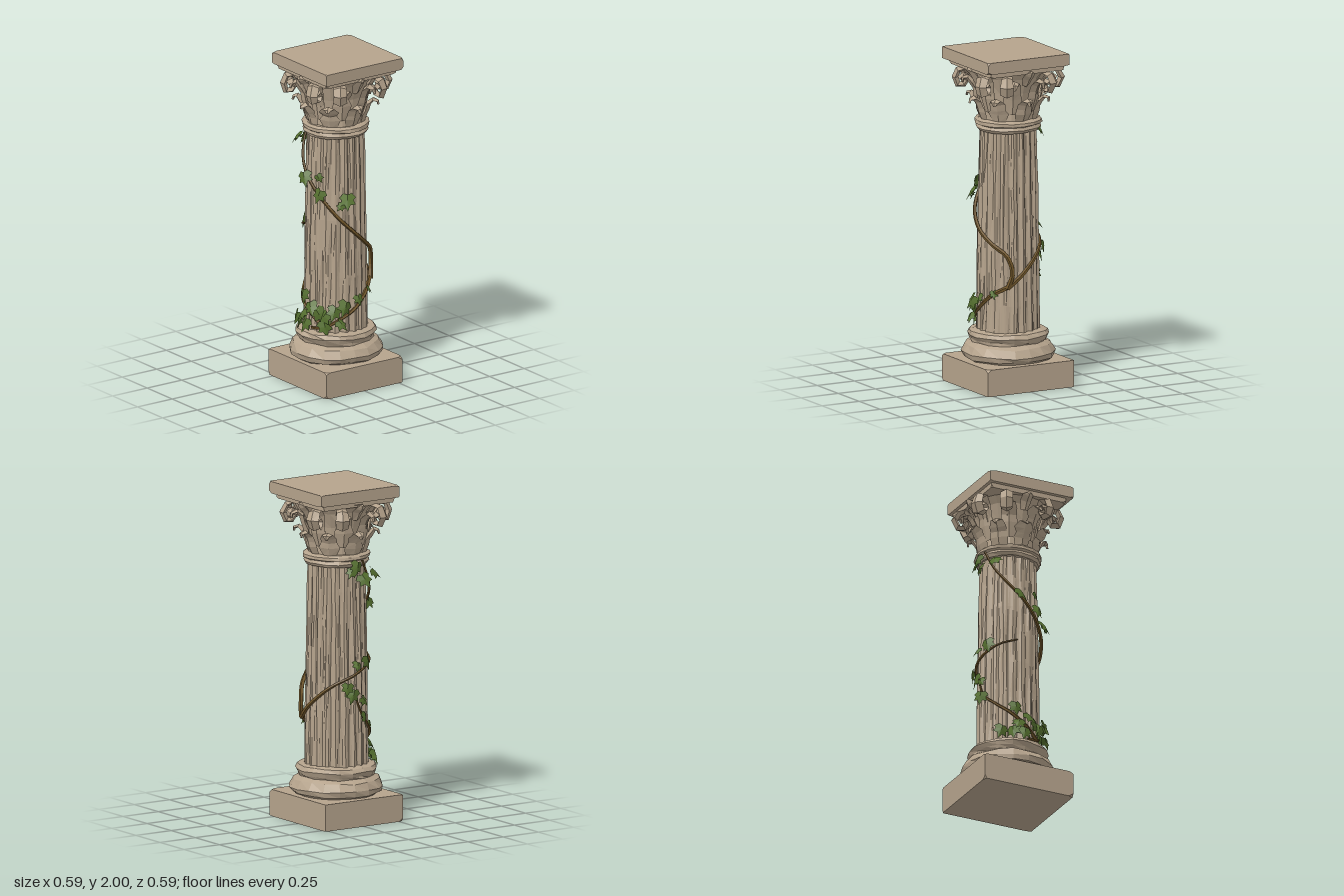
import * as THREE from 'three';
import { ConvexGeometry } from 'three/addons/geometries/ConvexGeometry.js';

const stone = new THREE.MeshStandardMaterial({ color: 0xb5a38c });
stone.name = 'weathered stone';
const bark = new THREE.MeshStandardMaterial({ color: 0x70562a });
bark.name = 'vine bark';
const green = new THREE.MeshStandardMaterial({ color: 0x55702f, side: THREE.DoubleSide });
green.name = 'ivy green';

const rad = THREE.MathUtils.degToRad;

// Repeatable value in -1..1 for any position
function noise(a, b, c) {
  const q = (v) => Math.round(v * 500);
  const s = Math.sin(q(a) * 12.9898 + q(b) * 78.233 + q(c) * 37.719) * 43758.5453;
  return (s - Math.floor(s)) * 2 - 1;
}

// Faceted normals
function flat(geometry) {
  const g = geometry.index ? geometry.toNonIndexed() : geometry;
  g.computeVertexNormals();
  return g;
}

function add(parent, name, geometry, material) {
  const mesh = new THREE.Mesh(flat(geometry), material);
  mesh.name = name;
  parent.add(mesh);
  return mesh;
}

// Moves every vertex by a small repeatable amount
function roughen(g, amount) {
  const p = g.attributes.position;
  for (let i = 0; i < p.count; i++) {
    const [x, y, z] = [p.getX(i), p.getY(i), p.getZ(i)];
    const k = 1 + noise(x, y, z) * amount / Math.max(0.1, Math.hypot(x, z));
    p.setXYZ(i, x * k, y + noise(z, x, y) * amount * 0.6, z * k);
  }
  return g;
}

// Block whose corners are each chipped by a different amount
function chippedBlock(x0, x1, y0, y1, z0, z1, chip) {
  const pts = [];
  for (const [x, sx] of [[x0, 1], [x1, -1]])
    for (const [y, sy] of [[y0, 1], [y1, -1]])
      for (const [z, sz] of [[z0, 1], [z1, -1]]) {
        const c = (k) => chip * (0.55 + 0.45 * noise(x + k, y, z - k));
        pts.push(new THREE.Vector3(x + sx * c(1), y, z), new THREE.Vector3(x, y + sy * c(2) * 0.6, z),
          new THREE.Vector3(x, y, z + sz * c(3)));
      }
  return new ConvexGeometry(pts);
}

function lathe(profile, segments, rough) {
  return roughen(new THREE.LatheGeometry(profile.map(([r, y]) => new THREE.Vector2(r, y)), segments), rough);
}

// Ridged carved leaf: sections of [radius, height, halfWidth] with diamond cross-sections
function frond(path, thick) {
  const pos = [], idx = [];
  const wide = Math.max(...path.map((s) => s[2]));
  path.forEach(([r, y, w], i) => {
    const a = path[Math.max(0, i - 1)], b = path[Math.min(path.length - 1, i + 1)];
    const len = Math.hypot(b[0] - a[0], b[1] - a[1]);
    const t = thick * (0.3 + 0.7 * w / wide);
    const nr = (b[1] - a[1]) / len * t, ny = -(b[0] - a[0]) / len * t;
    pos.push(0, y + ny, r + nr, w, y, r, 0, y - ny, r - nr, -w, y, r);
    if (i) for (let j = 0; j < 4; j++) {
      const k = (j + 1) % 4, lo = (i - 1) * 4, hi = i * 4;
      idx.push(lo + j, lo + k, hi + k, lo + j, hi + k, hi + j);
    }
  });
  const e = (path.length - 1) * 4;
  idx.push(e, e + 1, e + 2, e, e + 2, e + 3);
  const g = new THREE.BufferGeometry();
  g.setAttribute('position', new THREE.Float32BufferAttribute(pos, 3));
  g.setIndex(idx);
  return g;
}

// Fluted shaft, worn smoother in patches
function shaftGeometry() {
  const flutes = 20, n = flutes * 4;
  const g = new THREE.CylinderGeometry(1, 1, 1.24, n, 7, true);
  const p = g.attributes.position;
  for (let i = 0; i < p.count; i++) {
    const col = (i % (n + 1)) % n, row = Math.floor(i / (n + 1)), t = row / 7;
    const a = (col + 0.35 * noise(col, row, 1)) / n * Math.PI * 2;
    const wear = Math.max(0, Math.sin(a * 2 + 1 + row * 0.8) * Math.sin(row * 1.3 + a)) * 0.7;
    const groove = [0, 0.004, 0.016, 0.013][col % 4] * (1 - wear);
    const r = 0.168 + 0.022 * Math.pow(t, 0.8) - groove + noise(col, row, 2) * 0.002;
    p.setXYZ(i, Math.sin(a) * r, p.getY(i) + 0.94, Math.cos(a) * r);
  }
  return g;
}

// Tapering vine through [angle, height] points wrapped round the shaft
function vineGeometry(points, r0, r1) {
  const curve = new THREE.CatmullRomCurve3(points.map(([deg, y, r = 0.192], i) => {
    const a = rad(deg), k = r + noise(deg, y, i) * 0.006;
    return new THREE.Vector3(Math.sin(a) * k, y, Math.cos(a) * k);
  }));
  const n = points.length * 4;
  const g = new THREE.TubeGeometry(curve, n, 1, 5);
  const p = g.attributes.position, v = new THREE.Vector3();
  for (let i = 0; i < p.count; i++) {
    const t = Math.floor(i / 6) / n, c = curve.getPointAt(t);
    v.fromBufferAttribute(p, i).sub(c).multiplyScalar(r0 + (r1 - r0) * t).add(c);
    p.setXYZ(i, v.x, v.y, v.z);
  }
  return g;
}

// Five-lobed ivy leaf hanging from its stem, folded along the middle
function ivyGeometry() {
  const half = [[0, 0], [0.28, 0.14], [0.55, -0.12], [0.38, -0.32], [0.52, -0.62], [0.2, -0.66], [0, -1.1]];
  const rim = [...half, ...half.slice(1, -1).reverse().map(([x, y]) => [-x, y])];
  const pos = [];
  rim.forEach((a, i) => {
    const b = rim[(i + 1) % rim.length];
    for (const [x, y] of [[0, -0.35], b, a]) pos.push(x, y, 0.12 - Math.abs(x) * 0.45 - Math.max(0, -y - 0.5) * 0.3);
  });
  const g = new THREE.BufferGeometry();
  g.setAttribute('position', new THREE.Float32BufferAttribute(pos, 3));
  return g;
}

export function createModel() {
  const model = new THREE.Group();
  model.name = 'column';

  // Base
  add(model, 'plinth', chippedBlock(-0.29, 0.29, 0, 0.16, -0.275, 0.275, 0.035), stone);
  add(model, 'baseMoulding', lathe([[0.23, 0.155], [0.268, 0.175], [0.277, 0.205], [0.25, 0.25], [0.22, 0.268],
    [0.228, 0.285], [0.24, 0.31], [0.228, 0.332], [0.16, 0.345]], 18, 0.007), stone);

  // Shaft and neck rings
  add(model, 'shaft', shaftGeometry(), stone);
  add(model, 'neckRing', lathe([[0.15, 1.53], [0.18, 1.532], [0.193, 1.55], [0.182, 1.566], [0.198, 1.575],
    [0.198, 1.593], [0.18, 1.604], [0.15, 1.606]], 18, 0.004), stone);

  // Capital
  const capital = new THREE.Group();
  capital.name = 'capital';
  model.add(capital);
  add(capital, 'bell', lathe([[0.165, 1.59], [0.163, 1.68], [0.178, 1.77], [0.205, 1.86], [0.24, 1.915]], 16, 0.006), stone);
  const lower = [[0.16, 1.6, 0.045], [0.175, 1.65, 0.06], [0.185, 1.68, 0.046], [0.2, 1.71, 0.056],
    [0.228, 1.737, 0.036], [0.25, 1.728, 0.018], [0.252, 1.71, 0.006]];
  const upper = [[0.165, 1.65, 0.04], [0.185, 1.74, 0.055], [0.195, 1.78, 0.042], [0.212, 1.82, 0.052],
    [0.24, 1.847, 0.036], [0.265, 1.835, 0.02], [0.268, 1.81, 0.006]];
  const scroll = [[0.165, 1.68, 0.018], [0.19, 1.77, 0.022], [0.215, 1.85, 0.028], [0.25, 1.893, 0.033],
    [0.292, 1.882, 0.037], [0.312, 1.835, 0.038], [0.292, 1.79, 0.037], [0.258, 1.79, 0.035],
    [0.242, 1.82, 0.034], [0.262, 1.848, 0.034], [0.28, 1.83, 0.03]];
  const bud = [[0.2, 1.82, 0.025], [0.225, 1.87, 0.04], [0.25, 1.9, 0.035], [0.27, 1.91, 0.012]];
  const ring = (name, path, thick, angles) => angles.forEach((deg, i) => {
    const worn = path.map(([r, y, w], j) => [r + noise(i, j, 1) * 0.004, y + noise(i, j, 2) * 0.005, w * (1 + noise(i, j, 3) * 0.15)]);
    add(capital, name, frond(worn, thick).rotateY(rad(deg + noise(i, 5, deg) * 3)), stone);
  });
  const eight = [0, 1, 2, 3, 4, 5, 6, 7].map((i) => i * 45);
  ring('lowerLeaf', lower, 0.018, eight);
  ring('upperLeaf', upper, 0.018, eight.map((d) => d + 22.5));
  ring('scroll', scroll, 0.02, [45, 135, 225, 315].flatMap((d) => [d - 17, d + 17]));
  ring('faceBud', bud, 0.02, [0, 90, 180, 270]);
  add(capital, 'abacusBed', chippedBlock(-0.235, 0.255, 1.9, 1.94, -0.25, 0.25, 0.04), stone);
  add(capital, 'abacus', chippedBlock(-0.255, 0.29, 1.93, 2, -0.28, 0.275, 0.035), stone);

  // Climbing vine
  const ivy = new THREE.Group();
  ivy.name = 'ivy';
  model.add(ivy);
  add(ivy, 'upperVine', vineGeometry([[150, 0.61, 0.2], [158, 0.7, 0.205], [150, 0.8, 0.2], [120, 0.87], [90, 0.95], [60, 1.05],
    [30, 1.16], [0, 1.26], [-28, 1.35], [-52, 1.45], [-72, 1.57]], 0.015, 0.007), bark);
  add(ivy, 'middleVine', vineGeometry([[150, 0.61, 0.2], [180, 0.7], [-135, 0.82], [-90, 0.89], [-45, 0.95],
    [-10, 0.985]], 0.014, 0.005), bark);
  add(ivy, 'lowerVine', vineGeometry([[152, 0.62, 0.2], [120, 0.56], [90, 0.48], [60, 0.42], [30, 0.365], [8, 0.36]], 0.014, 0.008), bark);
  add(ivy, 'leftVine', vineGeometry([[35, 0.37], [10, 0.43], [-20, 0.5], [-48, 0.57], [-75, 0.65], [-92, 0.79]], 0.013, 0.005), bark);

  // Ivy leaves: [angle, stem height, size]
  const leaf = ivyGeometry();
  const leaves = [[-85, 1.56, 0.08], [-76, 1.48, 0.085], [-50, 1.5, 0.08], [-95, 1.52, 0.06], [-10, 1.3, 0.085],
    [22, 1.31, 0.05], [30, 1.22, 0.08], [75, 1.19, 0.09], [66, 1.14, 0.05], [-65, 0.99, 0.085], [-85, 0.96, 0.06],
    [-92, 0.8, 0.085], [-78, 0.75, 0.06], [-105, 0.84, 0.07], [-75, 0.66, 0.08], [-15, 0.57, 0.08], [6, 0.51, 0.085],
    [-6, 0.46, 0.08], [20, 0.48, 0.09], [40, 0.47, 0.09], [54, 0.5, 0.085], [72, 0.53, 0.09], [-36, 0.41, 0.085],
    [-18, 0.41, 0.085], [2, 0.41, 0.085], [34, 0.41, 0.085], [58, 0.42, 0.07], [95, 0.56, 0.06], [125, 0.59, 0.05]];
  leaves.forEach(([deg, y, size], i) => {
    const a = rad(deg), r = 0.203 + 0.012 * noise(i, 1, 4);
    const mesh = add(ivy, 'ivyLeaf', leaf, green);
    mesh.position.set(Math.sin(a) * r, y, Math.cos(a) * r);
    mesh.rotation.set(-0.45 + 0.3 * noise(i, 2, 7), a + 0.6 * noise(i, 3, 9), 0.7 * noise(i, 4, 11), 'YXZ');
    mesh.scale.setScalar(size);
  });

  return model;
}
